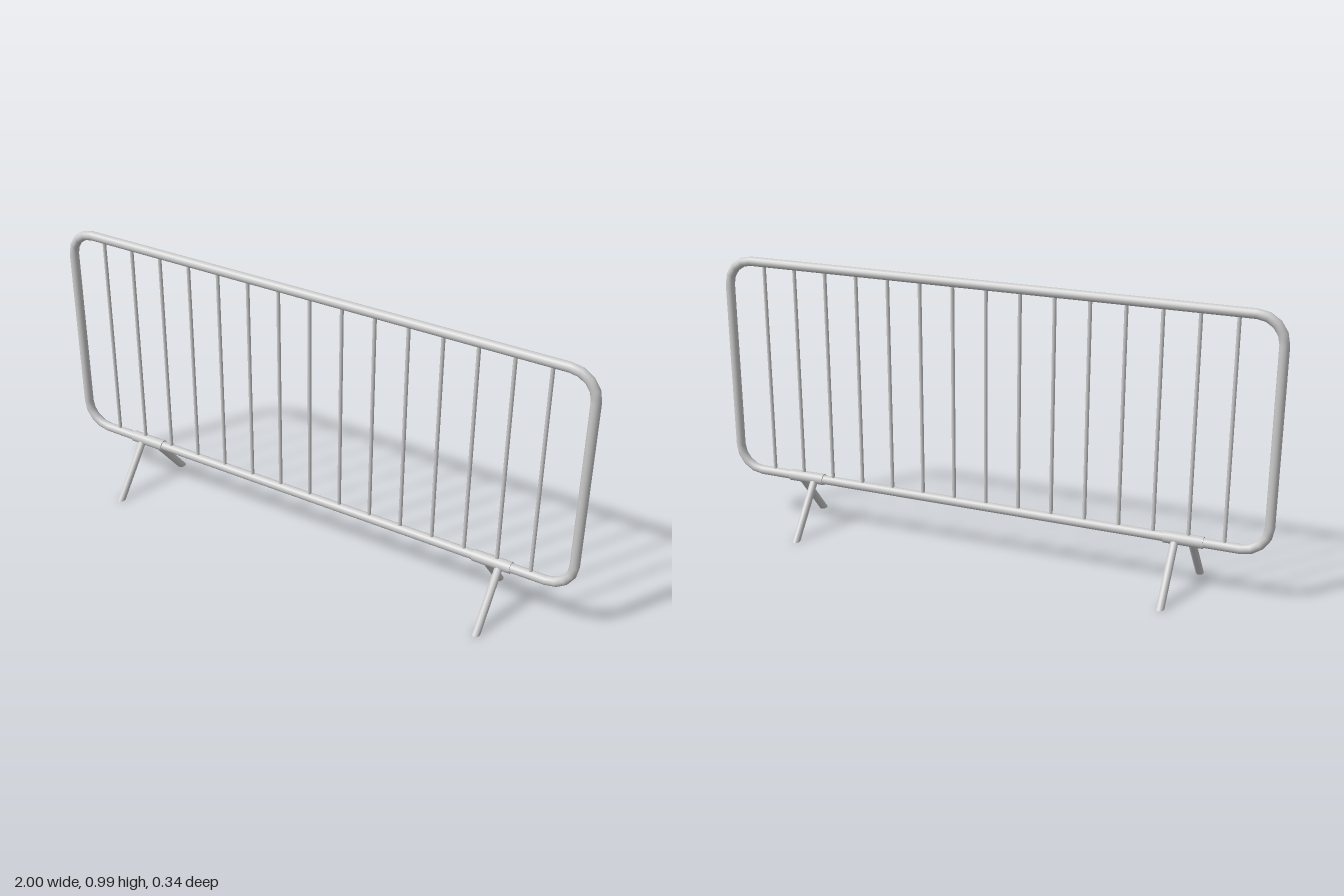
import * as THREE from 'three';

const steel = new THREE.MeshStandardMaterial({ color: 0xcccccc });
const R = 0.0165;            // frame tube radius
const X = 0.983;             // frame centre line, half width
const BOTTOM = 0.187, TOP = 0.978;
const BEND = 0.09;           // corner bend radius
const LEG_R = 0.0137, FOOT_Z = 0.153;

function add(parent, name, geometry, x = 0, y = 0, z = 0) {
  const mesh = new THREE.Mesh(geometry, steel);
  mesh.name = name;
  mesh.position.set(x, y, z);
  parent.add(mesh);
  return mesh;
}

// Round tube with bent corners
function createFrame() {
  const frame = new THREE.Group();
  frame.name = 'frame';
  const midY = (TOP + BOTTOM) / 2;
  const rail = new THREE.CylinderGeometry(R, R, 2 * (X - BEND), 16, 1, true).rotateZ(Math.PI / 2);
  add(frame, 'topRail', rail, 0, TOP);
  add(frame, 'bottomRail', rail, 0, BOTTOM);
  const post = new THREE.CylinderGeometry(R, R, TOP - BOTTOM - 2 * BEND, 16, 1, true);
  add(frame, 'leftPost', post, X, midY);
  add(frame, 'rightPost', post, -X, midY);
  const bend = new THREE.TorusGeometry(BEND, R, 16, 4, Math.PI / 2);
  const corners = [[1, TOP - BEND], [-1, TOP - BEND], [-1, BOTTOM + BEND], [1, BOTTOM + BEND]];
  corners.forEach(([side, y], i) => {
    add(frame, 'cornerBend', bend, side * (X - BEND), y).rotation.z = i * Math.PI / 2;
  });
  return frame;
}

// Slanted leg whose foot is cut level with the ground
function legGeometry(sign) {
  const axis = new THREE.Vector3(0, -BOTTOM, sign * FOOT_Z);
  const length = axis.length();
  axis.normalize();
  const geo = new THREE.CylinderGeometry(LEG_R, LEG_R, length, 16).translate(0, -length / 2, 0);
  const turn = new THREE.Quaternion().setFromUnitVectors(new THREE.Vector3(0, -1, 0), axis);
  const pos = geo.attributes.position;
  const v = new THREE.Vector3();
  for (let i = 0; i < pos.count; i++) {
    v.fromBufferAttribute(pos, i);
    const atFoot = v.y < -length / 2;
    v.applyQuaternion(turn);
    v.y += BOTTOM;
    if (atFoot) v.addScaledVector(axis, -v.y / axis.y);
    pos.setXYZ(i, v.x, v.y, v.z);
  }
  geo.applyQuaternion; // positions are already turned
  geo.computeVertexNormals();
  return geo;
}

// Sleeve on the bottom rail with a front and a back leg
function createStand(side) {
  const stand = new THREE.Group();
  stand.name = side > 0 ? 'leftStand' : 'rightStand';
  const sleeve = new THREE.CylinderGeometry(0.0205, 0.0205, 0.135, 16).rotateZ(Math.PI / 2);
  add(stand, 'sleeve', sleeve, side * 0.705, BOTTOM);
  add(stand, 'frontLeg', legGeometry(1), side * 0.732);
  add(stand, 'backLeg', legGeometry(-1), side * 0.676);
  return stand;
}

export function createModel() {
  const barrier = new THREE.Group();
  barrier.name = 'crowdBarrier';
  barrier.add(createFrame(), createStand(1), createStand(-1));

  // Thin upright bars
  const bars = new THREE.Group();
  bars.name = 'bars';
  const bar = new THREE.CylinderGeometry(0.0065, 0.0065, TOP - BOTTOM, 10);
  for (let i = -7; i <= 7; i++) add(bars, 'bar', bar, i * 0.12, (TOP + BOTTOM) / 2);
  barrier.add(bars);
  return barrier;
}
